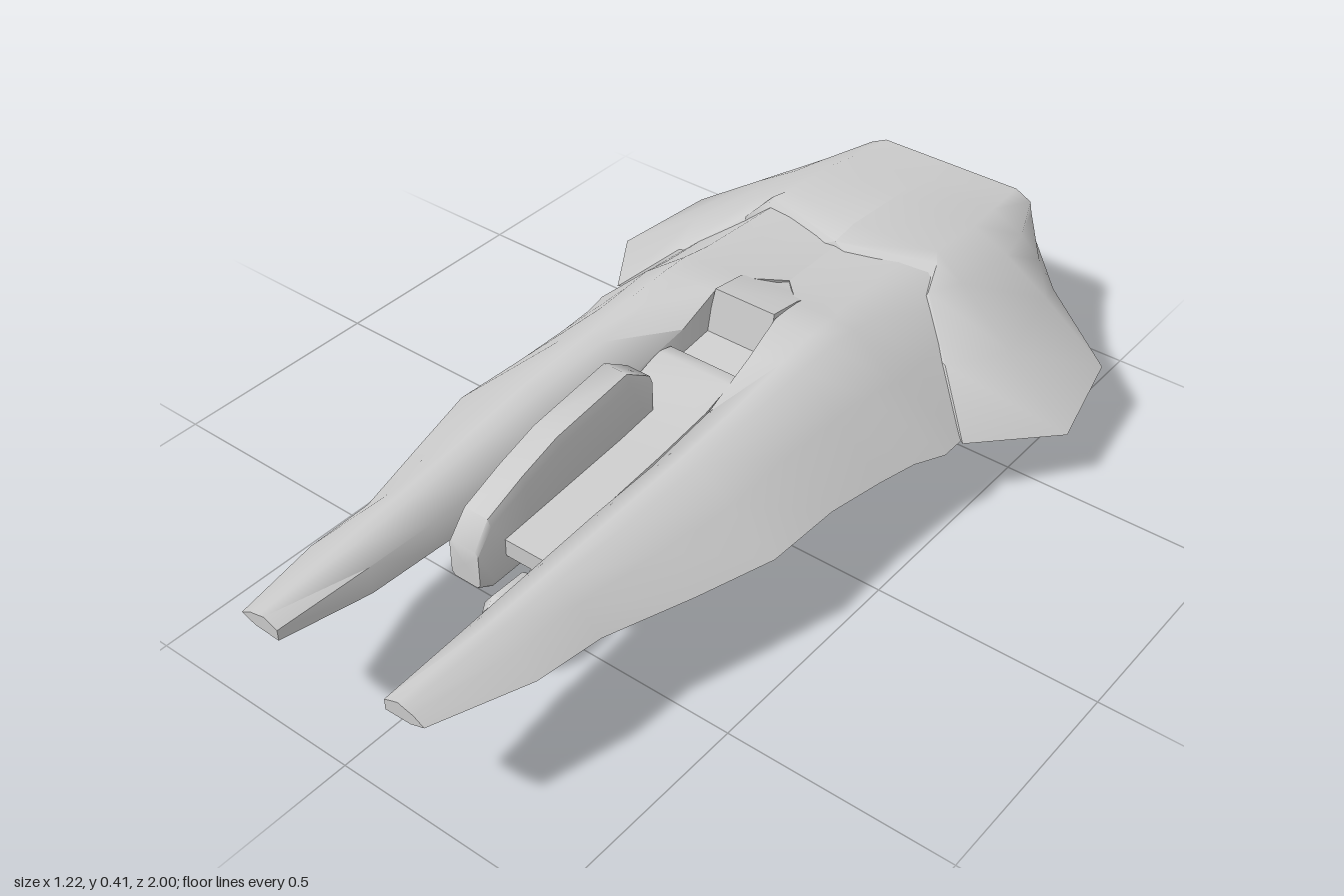
import * as THREE from 'three';
import { toCreasedNormals } from 'three/addons/utils/BufferGeometryUtils.js';

const material = new THREE.MeshStandardMaterial({ color: 0xcccccc, side: THREE.DoubleSide });

// Skin between closed rings of [x, y, z], listed front to back, counter-clockwise from the front
function loft(rings, crease = 1) {
  const n = rings[0].length;
  const pos = rings.flat(2);
  const idx = [];
  for (let s = 0; s < rings.length - 1; s++) {
    for (let i = 0; i < n; i++) {
      const j = (i + 1) % n;
      const a = s * n + i, b = s * n + j, c = b + n, d = a + n;
      idx.push(a, d, b, b, d, c);
    }
  }
  // end caps fan out from the ring centres
  [0, rings.length - 1].forEach((s, end) => {
    const centre = pos.length / 3;
    for (let k = 0; k < 3; k++) pos.push(rings[s].reduce((t, p) => t + p[k], 0) / n);
    for (let i = 0; i < n; i++) {
      const a = s * n + i, b = s * n + (i + 1) % n;
      idx.push(centre, end ? b : a, end ? a : b);
    }
  });
  const g = new THREE.BufferGeometry();
  g.setAttribute('position', new THREE.Float32BufferAttribute(pos, 3));
  g.setIndex(idx);
  return toCreasedNormals(g, crease);
}

const mirror = (rings) => rings.map((r) => r.map(([x, y, z]) => [-x, y, z]).reverse());

// Eight-sided ring with cut corners
function octagon(z, x0, x1, y0, y1, cut = 0.3) {
  const cx = (x1 - x0) * cut, cy = (y1 - y0) * cut;
  return [[x0 + cx, y0, z], [x1 - cx, y0, z], [x1, y0 + cy, z], [x1, y1 - cy, z],
    [x1 - cx, y1, z], [x0 + cx, y1, z], [x0, y1 - cy, z], [x0, y0 + cy, z]];
}

export function createModel() {
  const group = new THREE.Group();
  const add = (name, geometry) => {
    const mesh = new THREE.Mesh(geometry, material);
    mesh.name = name;
    group.add(mesh);
    return mesh;
  };
  const addPair = (name, rings, crease) => {
    add('left' + name, loft(rings, crease));
    add('right' + name, loft(mirror(rings), crease));
  };

  // Forward hull halves with the prongs: z, inner x, inner top, bottom, crown x, crown y, edge x, edge y
  const hull = [
    [1.0, 0.135, 0.26, 0.235, 0.18, 0.275, 0.23, 0.25],
    [0.78, 0.125, 0.262, 0.197, 0.185, 0.29, 0.288, 0.225],
    [0.62, 0.118, 0.265, 0.197, 0.19, 0.302, 0.3, 0.215],
    [0.42, 0.11, 0.27, 0.195, 0.195, 0.318, 0.36, 0.205],
    [0.24, 0.108, 0.275, 0.192, 0.2, 0.334, 0.41, 0.2],
    [0.05, 0.1, 0.29, 0.188, 0.2, 0.35, 0.41, 0.193],
    [-0.1, 0.085, 0.33, 0.17, 0.2, 0.365, 0.425, 0.178],
    [-0.2, 0.08, 0.375, 0.165, 0.2, 0.372, 0.44, 0.168],
    [-0.28, 0.075, 0.37, 0.155, 0.2, 0.37, 0.465, 0.155],
    [-0.36, 0.0, 0.352, 0.15, 0.2, 0.357, 0.462, 0.15],
    [-0.64, 0.0, 0.355, 0.165, 0.19, 0.352, 0.43, 0.17],
  ].map(([z, xi, yi, yb, xc, yc, xe, ye]) => [
    [xi, yb, z], [xi + (xe - xi) * 0.65, yb + 0.003, z], [xe, ye, z],
    [xc + (xe - xc) * 0.5, ye + (yc - ye) * 0.58, z],
    [xc + (xe - xc) * 0.08, yc - 0.006, z],
    [xc - (xc - xi) * 0.25, yc - (yc - yi) * 0.12, z], [xi, yi, z],
  ]);
  addPair('Hull', hull, 1.1);

  // Rear hood: notched lip, swept arms, wing tips and narrowing tail
  const hood = [
    [[0, 0.18, -0.53], [0.3, 0.18, -0.45], [0.47, 0.15, -0.34],
      [0.36, 0.25, -0.43], [0.245, 0.335, -0.53], [0.22, 0.363, -0.6], [0, 0.366, -0.53]],
    [[0, 0.17, -0.62], [0.36, 0.185, -0.58], [0.608, 0.118, -0.54],
      [0.43, 0.232, -0.58], [0.28, 0.33, -0.61], [0.2, 0.372, -0.63], [0, 0.377, -0.6]],
    [[0, 0.17, -0.77], [0.36, 0.185, -0.77], [0.56, 0.143, -0.77],
      [0.4, 0.25, -0.78], [0.29, 0.32, -0.78], [0.2, 0.362, -0.78], [0, 0.366, -0.78]],
    [[0, 0.2, -0.88], [0.26, 0.195, -0.88], [0.365, 0.208, -0.88],
      [0.32, 0.27, -0.88], [0.27, 0.315, -0.88], [0.19, 0.352, -0.88], [0, 0.357, -0.88]],
    [[0, 0.262, -0.99], [0.16, 0.262, -0.995], [0.225, 0.268, -1],
      [0.225, 0.3, -1], [0.22, 0.325, -1], [0.18, 0.345, -1], [0, 0.345, -1]],
  ];
  addPair('RearHood', hood, 1.2);

  // Channel deck between the prongs, with a sunken pit and an arch behind it: z, half width, bottom, top
  const deck = [
    [0.545, 0.113, 0.195, 0.235], [0.2, 0.11, 0.185, 0.265], [0.05, 0.11, 0.14, 0.285],
    [-0.03, 0.11, 0.093, 0.31], [-0.06, 0.1, 0.093, 0.31], [-0.1, 0.1, 0.095, 0.27],
    [-0.18, 0.1, 0.102, 0.285], [-0.2, 0.09, 0.105, 0.384], [-0.285, 0.09, 0.112, 0.372],
    [-0.34, 0.09, 0.113, 0.35], [-0.6, 0.1, 0.135, 0.33], [-0.85, 0.08, 0.185, 0.28],
  ].map(([z, w, y0, y1]) => [
    [-w, y0, z], [w, y0, z], [w, (y0 + y1) / 2, z], [w * 0.85, y1, z], [-w * 0.85, y1, z],
    [-w, (y0 + y1) / 2, z],
  ]);
  add('centreDeck', loft(deck, 0.8));

  // Engine pods: flat ramps off the belly that become rounded housings at the back
  addPair('EnginePod', [
    octagon(0.0, 0.1, 0.3, 0.17, 0.22, 0.1),
    octagon(-0.27, 0.1, 0.313, 0.11, 0.24, 0.08),
    octagon(-0.58, 0.1, 0.315, 0.1, 0.25, 0.12),
    octagon(-0.8, 0.105, 0.315, 0.1, 0.25, 0.2),
    octagon(-0.94, 0.125, 0.3, 0.118, 0.24, 0.25),
    octagon(-0.962, 0.145, 0.28, 0.135, 0.228),
  ], 1.1);

  // Tall fin set off-centre in the channel
  const fin = [
    [0.62, 0.16, 0.25], [0.58, 0.137, 0.305], [0.48, 0.14, 0.345], [0.38, 0.17, 0.377],
    [0.17, 0.2, 0.405], [0.1, 0.22, 0.36],
  ].map(([z, y0, y1]) => octagon(z, -0.077, -0.003, y0, y1, 0.1));
  add('centreFin', loft(fin));

  // Gun slung beneath the channel
  add('gunMuzzle', loft([
    octagon(0.662, 0.04, 0.1, 0.1, 0.18), octagon(0.64, 0.027, 0.108, 0.085, 0.193),
    octagon(0.56, 0.027, 0.108, 0.085, 0.193), octagon(0.53, 0.04, 0.095, 0.1, 0.17),
  ]));
  add('gunBarrel', loft([
    octagon(0.55, 0.04, 0.1, 0.08, 0.15), octagon(0.52, 0.035, 0.105, 0.07, 0.19, 0.2),
    octagon(0.48, 0.035, 0.105, 0.06, 0.2, 0.2), octagon(0.32, 0.035, 0.105, 0.06, 0.2, 0.2),
    octagon(0.23, 0.04, 0.1, 0.018, 0.2, 0.2), octagon(0.17, 0.04, 0.11, 0.014, 0.2, 0.2),
    octagon(0.05, 0.03, 0.1, 0.075, 0.2),
  ]));
  add('gunHousing', loft([
    octagon(0.2, 0.1, 0.165, 0.03, 0.15), octagon(0.175, 0.09, 0.18, 0.003, 0.17, 0.18),
    octagon(0.1, 0.09, 0.18, 0.0, 0.17, 0.18), octagon(0.07, 0.08, 0.165, 0.035, 0.18),
    octagon(0.0, 0.06, 0.13, 0.1, 0.19),
  ]));
  const brace = add('gunBrace', new THREE.BoxGeometry(0.08, 0.06, 0.3));
  brace.position.set(0.14, 0.17, 0.12);

  return group;
}
